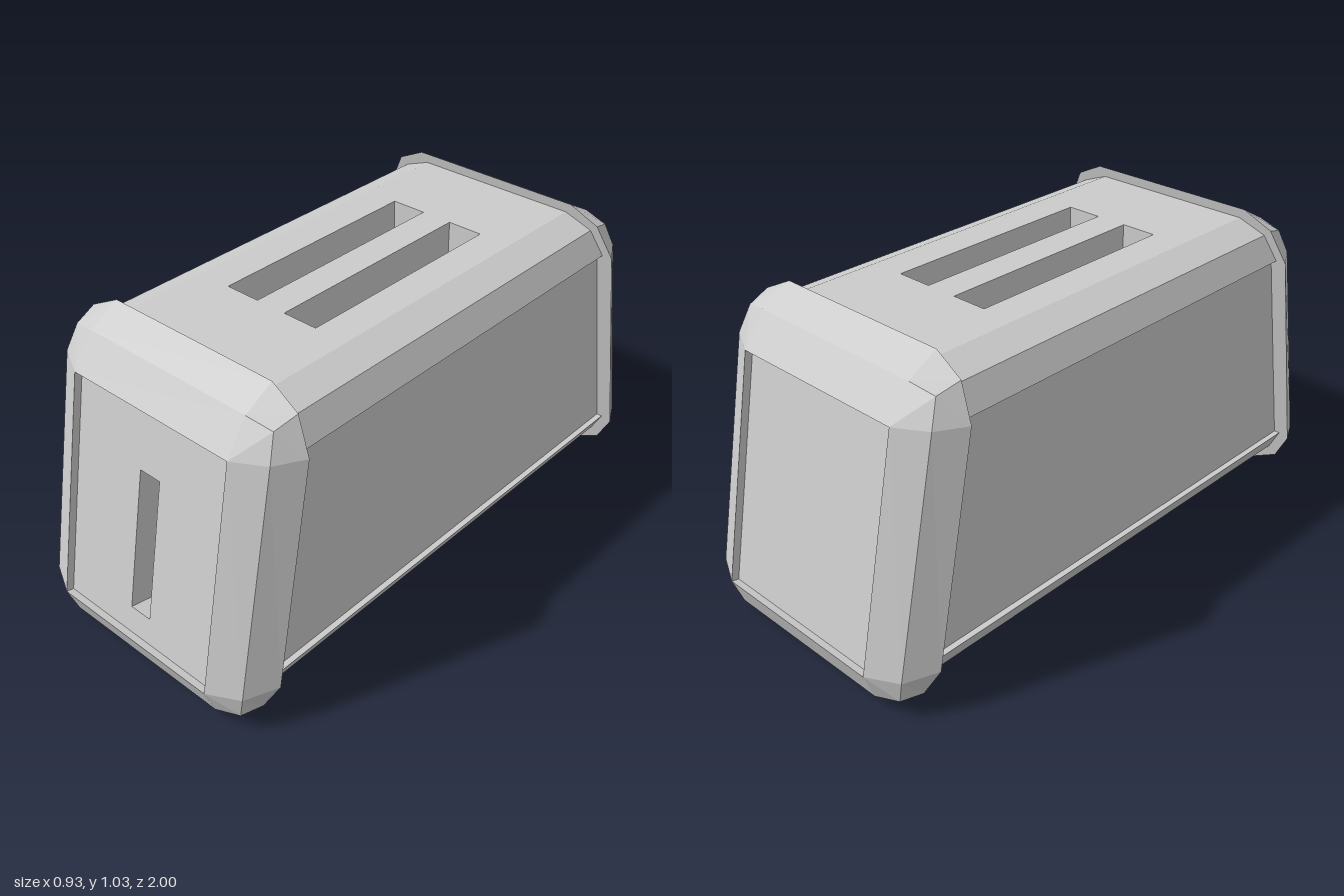
import * as THREE from 'three';

const grey = () => new THREE.MeshStandardMaterial({ color: 0xcccccc, flatShading: true });

function addMesh(parent, name, geometry) {
  const mesh = new THREE.Mesh(geometry, grey());
  mesh.name = name;
  parent.add(mesh);
  return mesh;
}

// Mirror the right-hand corner points into a full counter-clockwise ring.
// bottom and top each run from the side towards the middle; entries are [x, y, z].
function ring(bottom, top) {
  const flip = (p) => [-p[0], p[1], p[2]];
  return [
    ...top,
    ...top.map(flip).reverse(),
    ...bottom.map(flip),
    ...[...bottom].reverse(),
  ];
}

// Skin a list of equal-length rings; skip leaves one strip open.
function loft(rings, skip = -1) {
  const pos = [];
  for (let r = 0; r < rings.length - 1; r++) {
    const a = rings[r], b = rings[r + 1], n = a.length;
    for (let i = 0; i < n; i++) {
      if (i === skip) continue;
      const j = (i + 1) % n;
      pos.push(...a[i], ...a[j], ...b[j], ...a[i], ...b[j], ...b[i]);
    }
  }
  const g = new THREE.BufferGeometry();
  g.setAttribute('position', new THREE.Float32BufferAttribute(pos, 3));
  g.computeVertexNormals();
  return g;
}

// Flat plate (facing +z) with rectangular holes given as [x, y, w, h].
function plate(w, h, holes) {
  const rect = (target, x, y, rw, rh) => {
    target.moveTo(x - rw / 2, y - rh / 2);
    target.lineTo(x + rw / 2, y - rh / 2);
    target.lineTo(x + rw / 2, y + rh / 2);
    target.lineTo(x - rw / 2, y + rh / 2);
    target.closePath();
    return target;
  };
  const shape = rect(new THREE.Shape(), 0, 0, w, h);
  for (const hole of holes) shape.holes.push(rect(new THREE.Path(), ...hole));
  return new THREE.ShapeGeometry(shape);
}

// Inward-facing box, open towards +z, behind a hole of the same size.
function pocket([x, y, w, h], depth) {
  const box = new THREE.BoxGeometry(w, h, depth);
  const index = Array.from(box.index.array);
  index.splice(24, 6);
  box.setIndex(index.reverse());
  box.clearGroups();
  const g = box.toNonIndexed();
  g.computeVertexNormals();
  return g.translate(x, y, -depth / 2);
}

// Tilted plane where the body meets the end caps
const seamZ = (y) => 0.88 - 0.193 * y;

function createEndCap(name, hasSlot) {
  const cap = new THREE.Group();
  cap.name = name;
  const seam = (pts) => pts.map(([x, y]) => [x, y, seamZ(y)]);

  const rim = ring(
    seam([[0.465, 0.155], [0.41, 0.055], [0.31, 0]]),
    seam([[0.465, 0.88], [0.41, 0.985], [0.31, 1.035]]));
  const inner = rim.map(([x, y]) => {
    const iy = 0.52 + (y - 0.52) * 0.85;
    return [x * 0.85, iy, seamZ(iy)];
  });
  const bevel = ring(
    [[0.413, 0.143, 0.95], [0.395, 0.065, 0.945], [0.31, 0.045, 0.965]],
    [[0.413, 0.88, 0.8], [0.395, 0.962, 0.765], [0.31, 0.98, 0.78]]);
  const low = [0.31, 0.138, 1], high = [0.31, 0.875, 0.853];
  const frame = ring([low, low, low], [high, high, high]);
  const recess = frame.map(([x, y, z]) => [x, y - 0.005, z - 0.025]);
  addMesh(cap, 'capShell', loft([inner, rim, bevel, frame, recess]));

  // Recessed, leaning end panel
  const panel = new THREE.Group();
  panel.name = 'endPanel';
  panel.position.set(0, (low[1] + high[1]) / 2 - 0.005, (low[2] + high[2]) / 2 - 0.025);
  const rise = high[1] - low[1], lean = low[2] - high[2];
  panel.rotation.x = -Math.atan2(lean, rise);
  const slot = [0, -0.056, 0.08, 0.465];
  addMesh(panel, 'panelFace', plate(0.62, Math.hypot(rise, lean), hasSlot ? [slot] : []));
  if (hasSlot) addMesh(panel, 'leverSlot', pocket(slot, 0.09));
  cap.add(panel);
  return cap;
}

function createBody() {
  const body = new THREE.Group();
  body.name = 'body';
  const overlap = 0.02;

  // Bevelled cross-section with recessed side panels
  const bottom = [[0.41, 0.165], [0.43, 0.165], [0.385, 0.085], [0.29, 0.04]];
  const top = [[0.41, 0.88], [0.43, 0.88], [0.385, 0.962], [0.29, 1]];
  const section = ring(bottom, top);
  const end = (s) => section.map(([x, y]) => [x, y, s * (seamZ(y) + overlap)]);
  addMesh(body, 'bodyShell', loft([end(-1), end(1)], 3));

  // Top plate with two bread slots
  const slots = [-1, 1].map((s) => [s * 0.115, 0, 0.122, 0.755]);
  const lid = new THREE.Group();
  lid.name = 'top';
  lid.rotation.x = -Math.PI / 2;
  lid.position.y = 1;
  addMesh(lid, 'topPlate', plate(0.58, 2 * (seamZ(1) + overlap), slots));
  for (const s of slots) addMesh(lid, 'breadSlot', pocket(s, 0.35));
  body.add(lid);
  return body;
}

export function createModel() {
  const model = new THREE.Group();
  model.name = 'toaster';
  const front = createEndCap('frontCap', true);
  const back = createEndCap('backCap', false);
  back.rotation.y = Math.PI;
  model.add(createBody(), front, back);
  return model;
}
